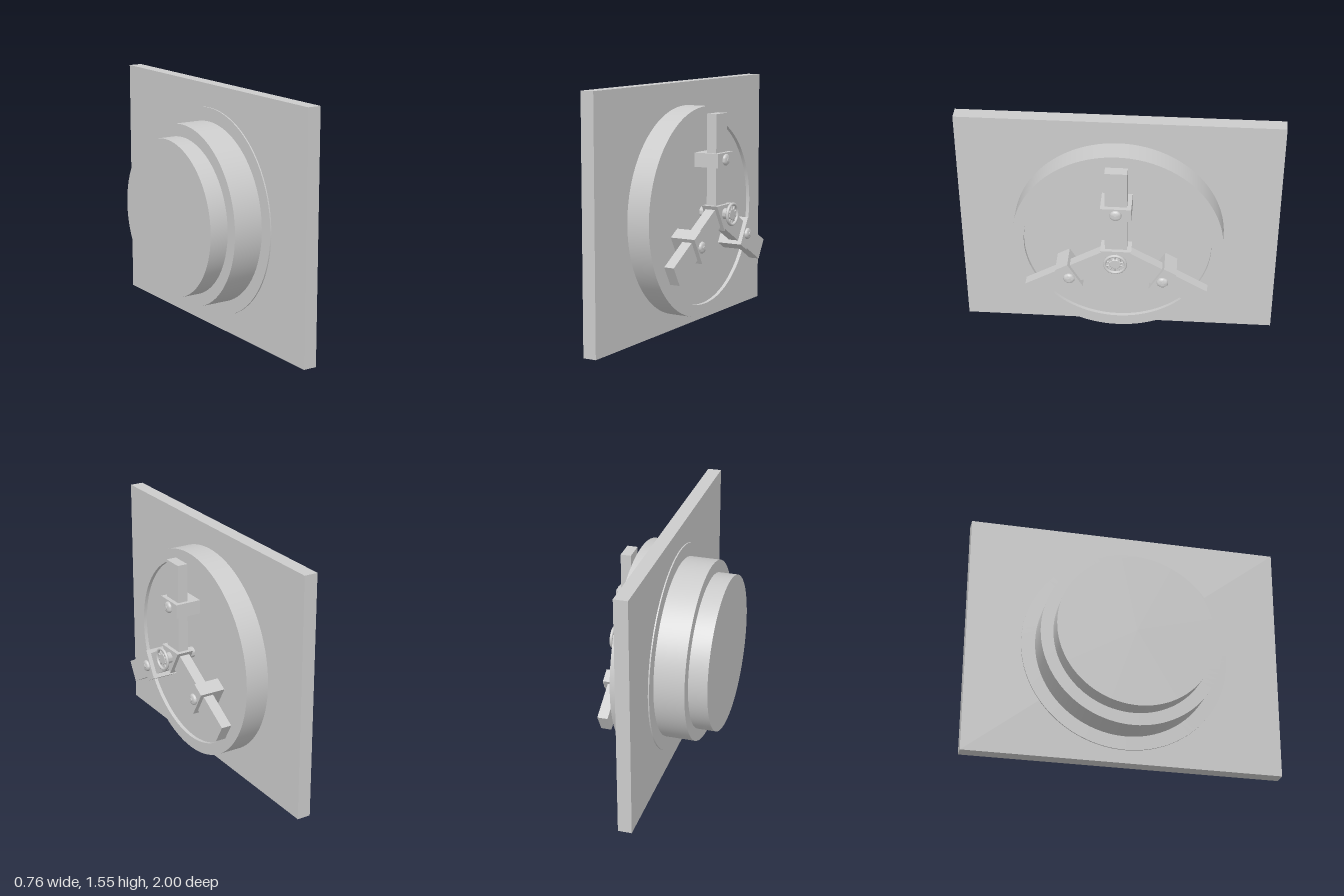
import * as THREE from 'three';
import { toCreasedNormals } from 'three/addons/utils/BufferGeometryUtils.js';

const material = new THREE.MeshStandardMaterial({ color: 0xcccccc });

function add(parent, name, geometry, x = 0, y = 0, z = 0) {
  const mesh = new THREE.Mesh(geometry, material);
  mesh.name = name;
  mesh.position.set(x, y, z);
  parent.add(mesh);
  return mesh;
}

// Turned solid around the z axis; profile is [radius, z] from back to front
function turned(profile, segments) {
  const points = profile.map(([r, z]) => new THREE.Vector2(r, z));
  const geometry = new THREE.LatheGeometry(points, segments).rotateX(Math.PI / 2);
  return toCreasedNormals(geometry, 0.6);
}

// Box given by width, height and its z range
function slab(w, h, z0, z1) {
  return new THREE.BoxGeometry(w, h, z1 - z0).translate(0, 0, (z0 + z1) / 2);
}

export function createModel() {
  const model = new THREE.Group();
  model.name = 'wallHatch';

  // Everything is built along local z, then turned so that the axis is +x
  const hatch = new THREE.Group();
  hatch.name = 'hatch';
  hatch.rotation.y = Math.PI / 2;
  hatch.position.y = 0.744;
  model.add(hatch);

  add(hatch, 'wallPlate', slab(2, 1.55, -0.062, 0.025), 0, 0.031, 0);

  // Stepped round body with a raised rim around the front face
  add(hatch, 'steppedBody', turned([
    [0, -0.382], [0.495, -0.382], [0.495, -0.262], [0.573, -0.262], [0.573, -0.07],
    [0.66, -0.07], [0.66, 0.175], [0.585, 0.175], [0.585, 0.152], [0, 0.152],
  ], 96));

  // Three locking arms, each held by a bracket with a domed bolt
  const boltGeometry = turned([
    [0.036, 0.318], [0.036, 0.323], [0.031, 0.331], [0.02, 0.336],
    [0.012, 0.337], [0.012, 0.342], [0, 0.342],
  ], 24);
  for (let i = 0; i < 3; i++) {
    const arm = new THREE.Group();
    arm.name = 'lockingArm' + (i + 1);
    arm.rotation.z = (i * Math.PI * 2) / 3;
    add(arm, 'bar', slab(0.136, 0.59, 0.225, 0.291), 0, 0.325, 0);
    add(arm, 'bracket', slab(0.188, 0.088, 0.15, 0.318), 0, 0.336, 0);
    add(arm, 'bolt', boltGeometry, 0, 0.336, 0);
    hatch.add(arm);
  }

  // Triangular hub where the arms meet
  const triangle = new THREE.Shape([30, 150, 270].map((deg) => {
    const a = THREE.MathUtils.degToRad(deg);
    return new THREE.Vector2(0.11 * Math.cos(a), 0.11 * Math.sin(a));
  }));
  add(hatch, 'triangularHub',
    new THREE.ExtrudeGeometry(triangle, { depth: 0.11, bevelEnabled: false }), 0, 0, 0.205);

  // Central spindle, flaring slightly behind the handwheel
  add(hatch, 'spindle', turned([
    [0.034, 0.15], [0.034, 0.335], [0.036, 0.355], [0.036, 0.366], [0.031, 0.37], [0, 0.37],
  ], 32));

  // Handwheel with spokes
  const wheel = new THREE.Group();
  wheel.name = 'handwheel';
  add(wheel, 'rim', new THREE.TorusGeometry(0.064, 0.0095, 12, 48), 0, 0, 0.368);
  const spokeGeometry = new THREE.CylinderGeometry(0.005, 0.005, 0.04, 8).translate(0, 0.046, 0);
  for (let i = 0; i < 10; i++) {
    const spoke = add(wheel, 'spoke', spokeGeometry, 0, 0, 0.364);
    spoke.rotation.z = (i * Math.PI) / 5;
  }
  hatch.add(wheel);

  return model;
}
